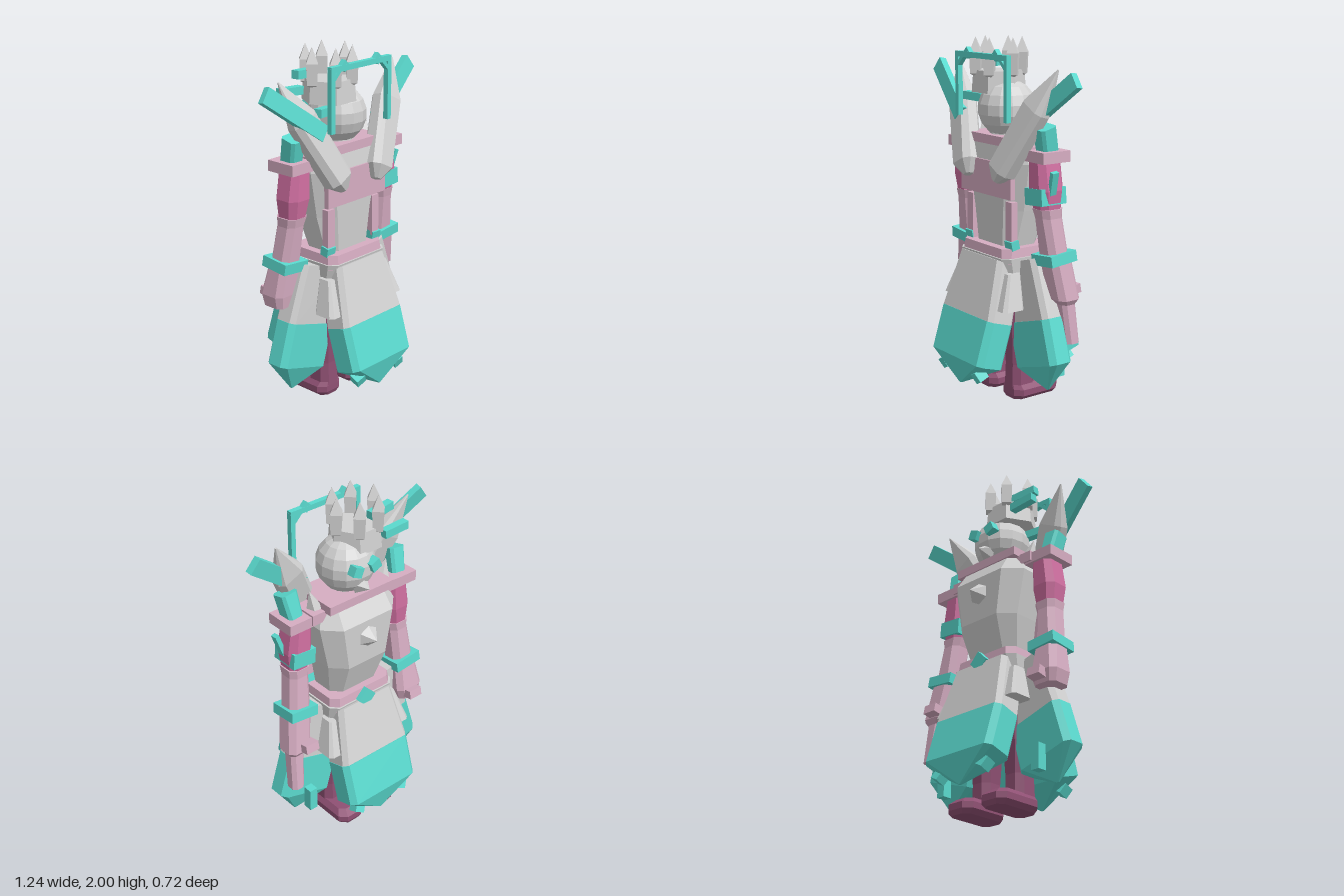
import * as THREE from 'three';

const mat = (name, color) => {
  const m = new THREE.MeshStandardMaterial({ color });
  m.name = name;
  return m;
};

export function createModel() {
  const root = new THREE.Group();
  root.name = 'armouredFigure';
  const grey = mat('paleGrey', 0xd2d2d2);
  const teal = mat('teal', 0x5ad9ce);
  const pink = mat('dustyPink', 0xd6adc2);
  const rose = mat('rose', 0xd06fa1);
  const plum = mat('plum', 0x8f5073);

  // Adds a faceted mesh.
  function add(name, geo, material, pos = [0, 0, 0], rot = [0, 0, 0], parent = root) {
    const g = geo.index ? geo.toNonIndexed() : geo;
    g.computeVertexNormals();
    const m = new THREE.Mesh(g, material);
    m.name = name;
    m.position.set(...pos);
    m.rotation.set(...rot);
    parent.add(m);
    return m;
  }
  const box = (name, material, size, pos, rot, parent) =>
    add(name, new THREE.BoxGeometry(...size), material, pos, rot, parent);

  // Solid through chamfered rectangles, listed bottom to top: [y, halfX, halfZ, chamfer, cx, cz].
  function loft(rings) {
    const p = [], idx = [], n = 8;
    for (const [y, w, d, c = Math.min(w, d) * 0.5, cx = 0, cz = 0] of rings) {
      const pts = [[w, -d + c], [w - c, -d], [c - w, -d], [-w, c - d], [-w, d - c], [c - w, d], [w - c, d], [w, d - c]];
      for (const [x, z] of pts) p.push(cx + x, y, cz + z);
    }
    for (let r = 0; r < rings.length - 1; r++)
      for (let i = 0; i < n; i++) {
        const a = r * n + i, b = r * n + (i + 1) % n;
        idx.push(a, b, b + n, a, b + n, a + n);
      }
    const t = (rings.length - 1) * n;
    for (let i = 1; i < n - 1; i++) idx.push(0, i + 1, i, t, t + i, t + i + 1);
    const g = new THREE.BufferGeometry();
    g.setAttribute('position', new THREE.Float32BufferAttribute(p, 3));
    g.setIndex(idx);
    return g;
  }

  // Stands a mesh whose axis is y at point a, aimed at point b.
  function aim(mesh, a, b) {
    const dir = new THREE.Vector3(...b).sub(new THREE.Vector3(...a)).normalize();
    mesh.position.set(...a);
    mesh.quaternion.setFromUnitVectors(new THREE.Vector3(0, 1, 0), dir);
  }

  // Torso
  add('chest', loft([
    [0.86, 0.16, 0.11, 0.05, 0, 0], [1.08, 0.21, 0.155, 0.08, 0, -0.035],
    [1.34, 0.26, 0.165, 0.09, 0, -0.03], [1.44, 0.22, 0.125, 0.06, 0, -0.005],
  ]), grey);
  box('backPanel', pink, [0.46, 0.19, 0.03], [0, 1.25, 0.13]);
  box('collar', pink, [0.44, 0.05, 0.27], [0, 1.455, -0.01]);
  add('chestSpike', new THREE.CylinderGeometry(0, 0.07, 0.08, 6), grey, [0, 1.24, -0.225], [-Math.PI / 2, 0, 0]);
  add('belt', loft([[0.8, 0.22, 0.17, 0.04], [0.88, 0.21, 0.16, 0.04]]), pink);
  add('hips', loft([[0.6, 0.2, 0.12, 0.04], [0.83, 0.225, 0.175, 0.04]]), grey);
  box('buckle', teal, [0.085, 0.085, 0.03], [0, 0.83, -0.18], [0, 0, Math.PI / 4]);

  // Four skirt panels
  function panel(name, w0, w1, d, pos, rot) {
    const g = new THREE.Group();
    g.name = name;
    g.position.set(...pos);
    g.rotation.set(...rot);
    root.add(g);
    add('upperPanel', loft([[-0.3, w1, d, 0.025], [0.03, w0, d, 0.025]]), grey, [0, 0, 0], [0, 0, 0], g);
    add('lowerPanel', loft([[-0.69, 0.006, 0.006], [-0.55, w1 + 0.003, d + 0.003, 0.03],
      [-0.3, w1 + 0.003, d + 0.003, 0.03]]), teal, [0, 0, 0], [0, 0, 0], g);
    return g;
  }
  const tilt = 0.297;
  panel('backSkirt', 0.19, 0.237, 0.085, [0, 0.77, 0.115], [-tilt, 0, 0]);
  panel('frontSkirt', 0.19, 0.237, 0.085, [0, 0.77, -0.115], [tilt, 0, 0]);

  // Blade shape shared by both sides
  const blade = () => loft([[0, 0.025, 0.025], [0.07, 0.08, 0.065], [0.46, 0.085, 0.055], [0.7, 0.004, 0.004]]);

  for (const s of [-1, 1]) {
    panel('sideSkirt', 0.16, 0.175, 0.07, [s * 0.18, 0.77, 0], [0, 0, s * tilt]);

    // Legs and feet
    add('leg', loft([[0.06, 0.07, 0.075], [0.2, 0.065, 0.07], [0.38, 0.08, 0.08], [0.65, 0.08, 0.085]]), plum, [s * 0.12, 0, 0]);
    add('foot', loft([[0, 0.065, 0.14, 0.03, 0, -0.075], [0.025, 0.09, 0.152, 0.04, 0, -0.077],
      [0.06, 0.09, 0.152, 0.04, 0, -0.077], [0.09, 0.065, 0.13, 0.03, 0, -0.06]]), plum, [s * 0.12, 0, 0]);
    box('hemTab', teal, [0.05, 0.14, 0.055], [s * 0.34, 0.23, -0.1]);

    // Hip plates and back straps
    for (const f of [-1, 1]) {
      add('hipPlate', loft([[0.56, 0.055, 0.07, 0.02, s * 0.24, f * 0.16], [0.75, 0.03, 0.04, 0.01, s * 0.21, f * 0.12]]), grey);
      box('hemStud', teal, [0.06, 0.06, 0.06], [s * 0.16, 0.19, f * 0.3], [0.4, 0, 0.5]);
    }
    box('backStrap', pink, [0.055, 0.27, 0.04], [s * 0.18, 1.0, 0.1]);
    box('strapClip', teal, [0.065, 0.05, 0.05], [s * 0.185, 0.9, 0.1], [0.2, 0, 0]);

    // Shoulders
    box('shoulderPad', pink, [0.19, 0.06, 0.18], [s * 0.345, 1.4, 0]);
    box('shoulderBridge', pink, [0.12, 0.06, 0.16], [s * 0.24, 1.41, -0.02]);
    add('shoulderPost', loft([[0, 0.045, 0.05, 0.015], [0.14, 0.05, 0.05, 0.015]]), teal, [s * 0.36, 1.42, 0.0], [0.25, 0, s * -0.1]);
    add('shoulderSpike', new THREE.ConeGeometry(0.05, 0.12, 5), grey, [s * 0.25, 1.49, -0.03], [0, 0, -s * 0.3]);

    // Arms
    const arm = new THREE.Group();
    arm.name = s > 0 ? 'leftArm' : 'rightArm';
    root.add(arm);
    const limb = (name, rings, m) => add(name, loft(rings), m, [0, 0, 0], [0, 0, 0], arm);
    limb('upperArm', [[1.1, 0.06, 0.065, 0.03, s * 0.355, -0.005], [1.22, 0.077, 0.08, 0.035, s * 0.35, 0],
      [1.39, 0.065, 0.075, 0.03, s * 0.335, 0]], rose);
    limb('forearm', [[0.85, 0.07, 0.065, 0.03, s * 0.38, -0.035], [1.07, 0.062, 0.065, 0.03, s * 0.36, -0.01],
      [1.12, 0.07, 0.07, 0.03, s * 0.355, -0.005]], pink);
    box('wristCuff', teal, [0.175, 0.06, 0.17], [s * 0.38, 0.85, -0.035], [0.1, 0, s * 0.1], arm);
    if (s > 0) {
      limb('hand', [[0.38, 0.04, 0.042, 0.02, 0.445, -0.1], [0.6, 0.045, 0.045, 0.02, 0.43, -0.075],
        [0.63, 0.075, 0.07, 0.03, 0.42, -0.07], [0.83, 0.075, 0.07, 0.03, 0.39, -0.04]], pink);
      box('armBand', teal, [0.145, 0.09, 0.165], [0.345, 1.185, 0], [0, 0, 0.08], arm);
      box('armFin', teal, [0.025, 0.13, 0.04], [0.435, 1.265, 0.02], [0.1, 0, -0.3], arm);
    } else {
      limb('hand', [[0.61, 0.07, 0.07, 0.025, -0.4, -0.06], [0.68, 0.09, 0.08, 0.03, -0.395, -0.06],
        [0.83, 0.075, 0.07, 0.03, -0.385, -0.04]], pink);
    }
    box('thumb', pink, [0.085, 0.05, 0.08], [s * 0.385, 0.66, -0.145], [0.2, 0, 0], arm);

    // Wing blades behind the shoulders
    aim(add('wingBlade', blade(), grey), [s * 0.13, 1.25, 0.165], [s * 0.45, 1.86, 0]);
    const a = s > 0 ? [0.25, 1.55, 0.06] : [-0.25, 1.57, 0.13];
    const b = s > 0 ? [0.59, 1.81, 0] : [-0.59, 1.82, 0.045];
    const len = Math.hypot(b[0] - a[0], b[1] - a[1], b[2] - a[2]);
    aim(add('wingPlate', new THREE.BoxGeometry(0.09, len, 0.04).translate(0, len / 2, 0), teal), a, b);

    // Frame posts, braces and bumps behind the head
    box('framePost', teal, [0.028, 0.34, 0.03], [s * 0.222, 1.74, 0.16]);
    box('frameBrace', teal, [0.02, 0.08, 0.028], [s * 0.19, 1.875, 0.16], [0, 0, s * 0.785]);
    box('frameBump', teal, [0.045, 0.045, 0.028], [s * 0.13, 1.915, 0.16], [0, 0, Math.PI / 4]);

    // Eyes
    box('eye', teal, [0.06, 0.055, 0.05], [s * 0.06, 1.645, -0.16], [0, 0, s * 0.4]);
  }
  box('frameBar', teal, [0.47, 0.03, 0.03], [0, 1.905, 0.16]);

  // Head
  add('neck', new THREE.CylinderGeometry(0.09, 0.1, 0.1, 8), grey, [0, 1.48, 0]);
  add('head', new THREE.SphereGeometry(0.162, 14, 9), grey, [0, 1.615, -0.005]);
  add('snout', new THREE.ConeGeometry(0.055, 0.08, 5), grey, [0, 1.53, -0.16], [-Math.PI / 2, 0, 0]);

  // Crown with six spikes, set off to one side
  const cx = -0.07;
  add('crownBand', new THREE.CylinderGeometry(0.14, 0.15, 0.12, 6), grey, [cx, 1.76, 0], [0, Math.PI / 6, 0]);
  for (let i = 0; i < 6; i++) {
    const t = i * Math.PI / 3;
    const spike = new THREE.LatheGeometry([[0, 1.78], [0.038, 1.8], [0.044, 1.915], [0, 2]]
      .map(([x, y]) => new THREE.Vector2(x, y)), 4);
    add('crownSpike', spike, grey, [cx + 0.127 * Math.cos(t), 0, 0.127 * Math.sin(t)]);
  }

  // Bars projecting from one side of the head
  for (const [x, y, z, l, r] of [[-0.255, 1.76, -0.105, 0.16, 0], [-0.21, 1.86, -0.04, 0.16, 0.1], [-0.19, 1.67, 0.08, 0.13, 0.2]])
    box('headBar', teal, [l, 0.045, 0.045], [x, y, z], [0, r, -0.05]);

  return root;
}
